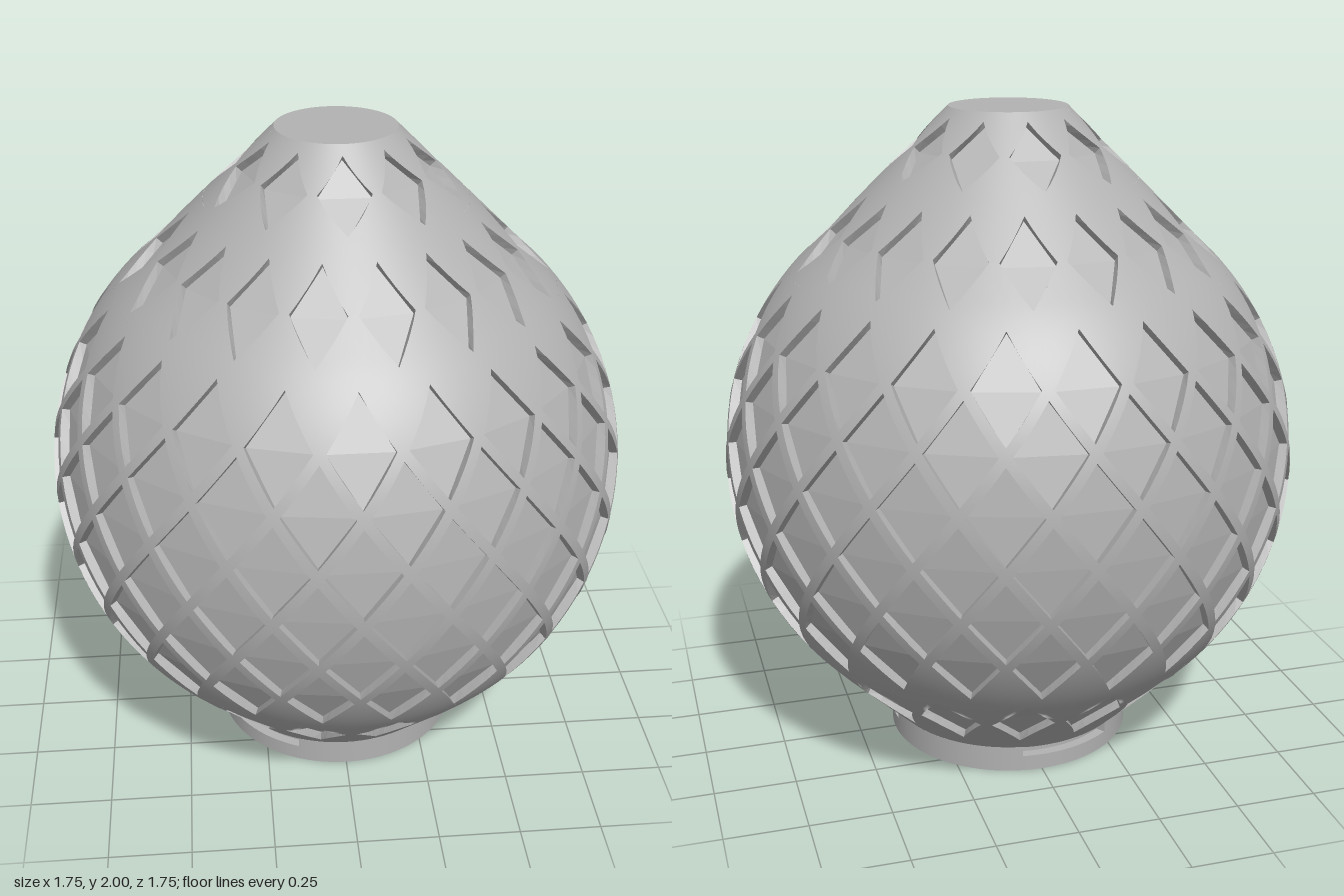
import * as THREE from 'three';

const TAU = Math.PI * 2;
const CY = 0.94, R = 0.877;          // sphere centre height and radius
const LOW = 0.32, HIGH = 1.56;       // heights where the sphere turns into cones
const DEPTH = 0.024, INSET = 0.85, N = 4;

// Outer radius at height y: cone, sphere, cone
function radius(y) {
  if (y < LOW) return y + 0.303;
  if (y > HIGH) return 2.177 - y;
  return Math.sqrt(R * R - (y - CY) ** 2);
}

function normalAt([t, y]) {
  const slope = (radius(y + 0.001) - radius(y - 0.001)) / 0.002;
  return new THREE.Vector3(Math.sin(t), -slope, Math.cos(t)).normalize();
}

function pointAt([t, y]) {
  const r = radius(y);
  return new THREE.Vector3(Math.sin(t) * r, y, Math.cos(t) * r);
}

const mix = (a, b, f) => [a[0] + (b[0] - a[0]) * f, a[1] + (b[1] - a[1]) * f];

// Collects triangles, turning each one to face the given direction
class Builder {
  constructor() { this.pos = []; this.nor = []; }
  tri(p, facing, normals) {
    const n = p[1].clone().sub(p[0]).cross(p[2].clone().sub(p[0]));
    if (n.length() < 1e-9) return;
    const flip = n.dot(facing) < 0;
    n.normalize();
    if (flip) n.negate();
    for (const i of flip ? [0, 2, 1] : [0, 1, 2]) {
      this.pos.push(...p[i].toArray());
      this.nor.push(...(normals ? normals[i] : n).toArray());
    }
  }
  quad(p, facing, normals) {
    for (const s of [[0, 1, 2], [0, 2, 3]]) {
      this.tri(s.map(i => p[i]), facing, normals && s.map(i => normals[i]));
    }
  }
  // Curved patch between edge a-b and edge c-d, given as angle and height
  patch(a, b, c, d, rows) {
    for (let i = 0; i < N; i++) {
      for (let j = 0; j < rows; j++) {
        const at = (u, v) => mix(mix(a, b, u / N), mix(c, d, u / N), v / rows);
        const q = [at(i, j), at(i + 1, j), at(i + 1, j + 1), at(i, j + 1)];
        const normals = q.map(normalAt);
        this.quad(q.map(pointAt), normals[0], normals);
      }
    }
  }
  build() {
    const g = new THREE.BufferGeometry();
    g.setAttribute('position', new THREE.Float32BufferAttribute(this.pos, 3));
    g.setAttribute('normal', new THREE.Float32BufferAttribute(this.nor, 3));
    return g;
  }
}

// One row of sunken diamonds; lower and upper corners are filled on request
function addRow(shell, floors, { y, half, count, shift = 0, low = true, high = true }) {
  const w = Math.PI / count;
  for (let k = 0; k < count; k++) {
    const c = [(k + shift) * 2 * w, y];
    const outer = [[c[0] + w, y], [c[0], y + half], [c[0] - w, y], [c[0], y - half]];
    const inner = outer.map(o => mix(c, o, INSET));
    const out = normalAt(c);
    const sunk = inner.map(p => pointAt(p).addScaledVector(out, -DEPTH));
    const mid = pointAt(c);
    for (let s = 0; s < 4; s++) {
      const e = (s + 1) % 4;
      shell.patch(outer[s], outer[e], inner[s], inner[e], 1);
      // Walls of the recess
      for (let i = 0; i < N; i++) {
        const p = pointAt(mix(inner[s], inner[e], i / N));
        const q = pointAt(mix(inner[s], inner[e], (i + 1) / N));
        const pd = sunk[s].clone().lerp(sunk[e], i / N);
        const qd = sunk[s].clone().lerp(sunk[e], (i + 1) / N);
        floors.quad([p, q, qd, pd], mid.clone().sub(p));
      }
      // Corner between the diamond and the edge of its band
      if (s < 2 ? high : low) {
        const corner = [c[0] + (s === 0 || s === 3 ? w : -w), y + (s < 2 ? half : -half)];
        shell.patch(outer[s], outer[e], corner, corner, 3);
      }
    }
    floors.quad(sunk, out);
  }
}

// Lathe from pairs of radius and height
const lathe = (pts) => new THREE.LatheGeometry(pts.map(p => new THREE.Vector2(...p)), 96);

// Flat-sided arc block, angles in degrees from the front towards +x
function arcBlock(inner, outer, y, height, from, to) {
  const a = THREE.MathUtils.degToRad(from - 90), b = THREE.MathUtils.degToRad(to - 90);
  const shape = new THREE.Shape();
  shape.absarc(0, 0, outer, a, b, false);
  shape.absarc(0, 0, inner, b, a, true);
  const g = new THREE.ExtrudeGeometry(shape, { depth: height, bevelEnabled: false, curveSegments: 32 });
  return g.rotateX(-Math.PI / 2).translate(0, y, 0);
}

export function createModel() {
  const group = new THREE.Group();
  const grey = new THREE.MeshStandardMaterial({ color: 0xb2b2b2 });
  grey.name = 'plain grey';
  const inside = new THREE.MeshStandardMaterial({ color: 0xb2b2b2, side: THREE.DoubleSide });
  inside.name = 'inner grey';
  const add = (name, geometry, material = grey) => {
    const mesh = new THREE.Mesh(geometry, material);
    mesh.name = name;
    group.add(mesh);
  };

  // Patterned shell: lower row, interlocking lattice, two upper rows
  const shell = new Builder(), floors = new Builder();
  addRow(shell, floors, { y: 0.26, half: 0.14, count: 16, shift: 0.5 });
  for (let k = -3; k <= 2; k++) {
    addRow(shell, floors, {
      y: 1.04 + k * 0.16, half: 0.16, count: 22, shift: k % 2 ? 0.5 : 0,
      low: k === -3, high: k === 2,
    });
  }
  addRow(shell, floors, { y: 1.645, half: 0.125, count: 18, shift: 0.5 });
  addRow(shell, floors, { y: 1.89, half: 0.1, count: 10 });
  add('shell', shell.build());
  add('diamondRecesses', floors.build());

  // Plain bands between the rows
  for (const [a, b] of [[0.08, 0.12], [1.77, 1.79], [1.99, 2]]) {
    add('plainBand', lathe([[radius(a), a], [radius(b), b]]));
  }

  // Flat top
  add('topCap', new THREE.CircleGeometry(radius(2), 96).rotateX(-Math.PI / 2).translate(0, 2, 0));

  // Hollow interior
  const cavity = [[0.335, 0], [0.335, 0.12]];
  for (let i = 0; i <= 24; i++) {
    const y = 0.14 + i * 0.0725;
    cavity.push([Math.max(radius(y) - 0.08, 0.335 * (i < 2)), y]);
  }
  cavity.push([0.0, 1.88]);
  add('cavity', lathe(cavity), inside);

  // Neck collar with three twist-lock slots
  add('collarRim', lathe([[0.335, 0], [0.385, 0]].reverse().map(([r]) => [r, 0])), inside);
  add('collarWall', lathe([[0.385, 0], [0.385, 0.05]]));
  add('collarLedge', lathe([[0.385, 0.05], [0.355, 0.05]]));
  add('slotWall', lathe([[0.355, 0.05], [0.355, 0.085]]));
  add('slotRoof', lathe([[0.355, 0.082], [0.385, 0.082]]));
  for (let k = 0; k < 3; k++) {
    add('collarLug', arcBlock(0.35, 0.386, 0.05, 0.033, 97 + k * 120, 171 + k * 120));
  }
  return group;
}
